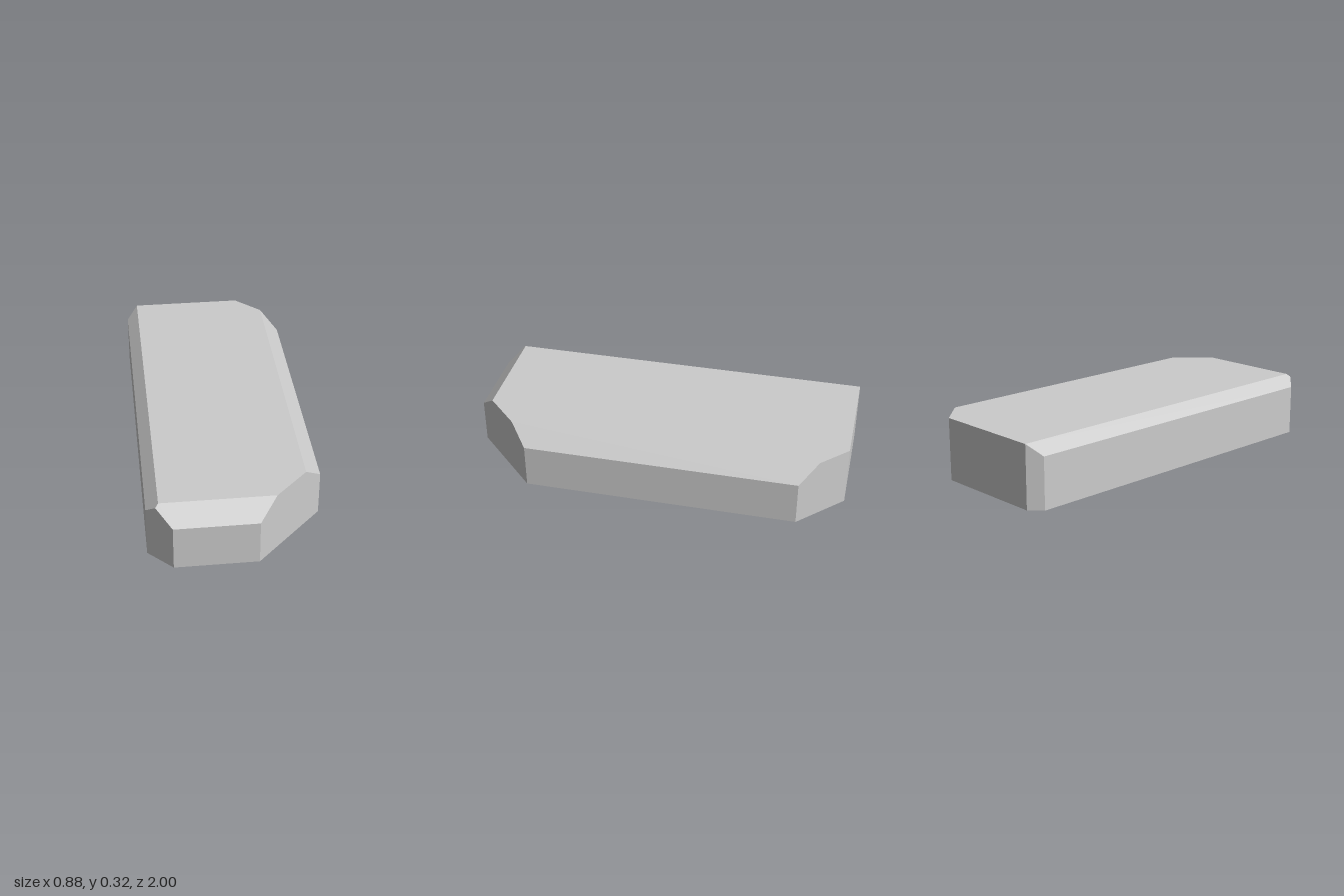
import * as THREE from 'three';
import { ConvexGeometry } from 'three/addons/geometries/ConvexGeometry.js';

// Plan outline as [x, z], with a different chamfer at each corner
const outline = [
  [-0.44, -0.94], [-0.38, -1], [0.215, -1], [0.44, -0.775],
  [0.44, 0.655], [0.095, 1], [-0.32, 1], [-0.44, 0.88],
];

// Extra plan points where the top bevels meet the chamfers and the flat top
const bevelPoints = [
  [0.35, -0.865], [0.35, 0.745], // left bevel
  [0.185, 0.91], [-0.38, 0.91], // front bevel
  [-0.395, 0.925], // mitre of the front and right bevels
];

// Flat top lowered by 45 degree bevels on the left, right and front edges
const topHeight = (x, z) => Math.min(0.325, 0.675 - x, 0.705 + x, 1.235 - z);

export function createModel() {
  const points = [
    ...outline.map(([x, z]) => new THREE.Vector3(x, 0, z)),
    ...[...outline, ...bevelPoints].map(([x, z]) => new THREE.Vector3(x, topHeight(x, z), z)),
  ];
  const block = new THREE.Mesh(
    new ConvexGeometry(points),
    new THREE.MeshStandardMaterial({ color: 0xcccccc, flatShading: true }),
  );
  block.name = 'chamferedBlock';

  const group = new THREE.Group();
  group.name = 'bevelledSlab';
  group.add(block);
  return group;
}
